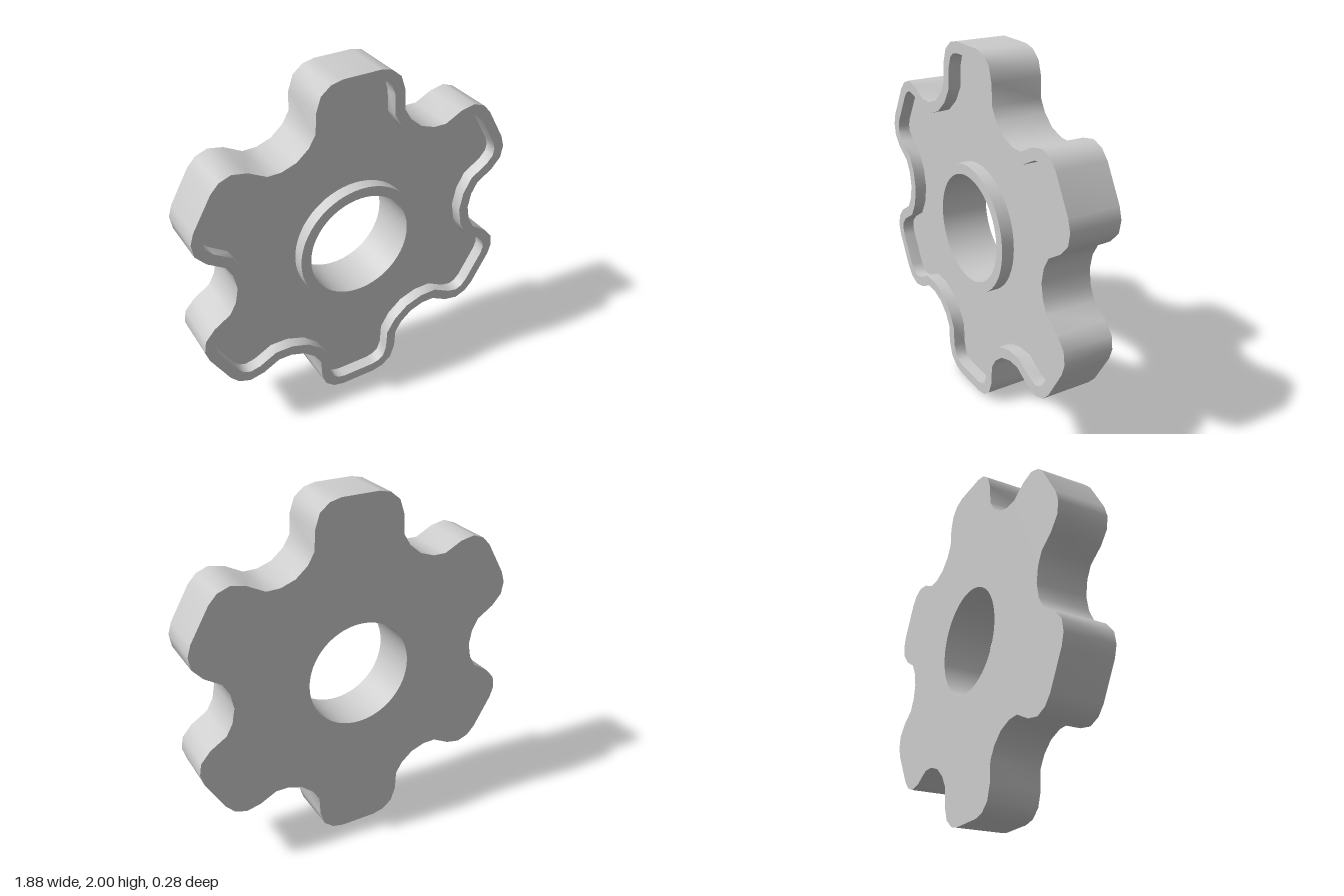
import * as THREE from 'three';

const BACK = -0.142, FRONT = 0.142, FLOOR = 0.072, RIM = 0.06;
const TEETH = 6, HOLE_R = 0.302, COLLAR_R = 0.36;

// Right half of the top tooth, from the valley up to the flat tip
const HALF = [[0.3625, 0.628], [0.296, 0.685], [0.257, 0.75], [0.252, 0.86],
  [0.225, 0.94], [0.17, 0.985], [0.105, 1]];

// Whole counter-clockwise outline: mirror the half tooth, then repeat it around
function gearOutline() {
  const tooth = [...HALF, ...HALF.slice(1).reverse().map(([x, y]) => [-x, y])];
  const pts = [];
  for (let k = 0; k < TEETH; k++) {
    for (const [x, y] of tooth) {
      pts.push(new THREE.Vector2(x, y).rotateAround(new THREE.Vector2(), k * 2 * Math.PI / TEETH));
    }
  }
  return pts;
}

// Moves a closed outline inwards by d, with mitred corners
function inset(pts, d) {
  const n = pts.length;
  const normal = (a, b) => new THREE.Vector2(b.y - a.y, a.x - b.x).normalize();
  return pts.map((p, i) => {
    const n1 = normal(pts[(i + n - 1) % n], p), n2 = normal(p, pts[(i + 1) % n]);
    return p.clone().addScaledVector(n1.clone().add(n2), -d / (1 + n1.dot(n2)));
  });
}

function circle(r, n = 64) {
  return Array.from({ length: n }, (_, i) => {
    const a = i / n * 2 * Math.PI;
    return new THREE.Vector2(r * Math.cos(a), r * Math.sin(a));
  });
}

// Smooth closed wall between two depths; inward walls face the middle
function wall(pts, z0, z1, inward = false) {
  const loop = inward ? [...pts].reverse() : pts;
  const pos = [], idx = [], n = loop.length;
  loop.forEach((p, i) => {
    pos.push(p.x, p.y, z0, p.x, p.y, z1);
    const a = 2 * i, b = 2 * ((i + 1) % n);
    idx.push(a, b, b + 1, a, b + 1, a + 1);
  });
  const g = new THREE.BufferGeometry();
  g.setAttribute('position', new THREE.Float32BufferAttribute(pos, 3));
  g.setIndex(idx);
  g.computeVertexNormals();
  return g;
}

// Flat face between an outer and an inner outline
function face(outer, inner, z, backward = false) {
  const shape = new THREE.Shape(outer);
  shape.holes.push(new THREE.Path(inner));
  const g = new THREE.ShapeGeometry(shape);
  if (backward) g.rotateY(Math.PI); // the outlines are symmetric in x
  return g.translate(0, 0, z);
}

export function createModel() {
  const group = new THREE.Group();
  group.name = 'gear';
  const material = new THREE.MeshStandardMaterial({ color: 0xcccccc });
  const add = (name, geometry) => {
    const mesh = new THREE.Mesh(geometry, material);
    mesh.name = name;
    mesh.position.y = 1;
    group.add(mesh);
  };
  const outer = gearOutline(), inner = inset(outer, RIM);
  const hole = circle(HOLE_R), collar = circle(COLLAR_R);

  // Toothed body
  add('toothedEdge', wall(outer, BACK, FRONT));
  add('backFace', face(outer, hole, BACK, true));
  add('boreWall', wall(hole, BACK, FRONT, true));

  // Raised rim around the recessed front
  add('rimFace', face(outer, inner, FRONT));
  add('rimInnerWall', wall(inner, FLOOR, FRONT, true));
  add('recessFloor', face(inner, collar, FLOOR));

  // Raised collar around the bore
  add('collarWall', wall(collar, FLOOR, FRONT));
  add('collarFace', face(collar, hole, FRONT));
  return group;
}
